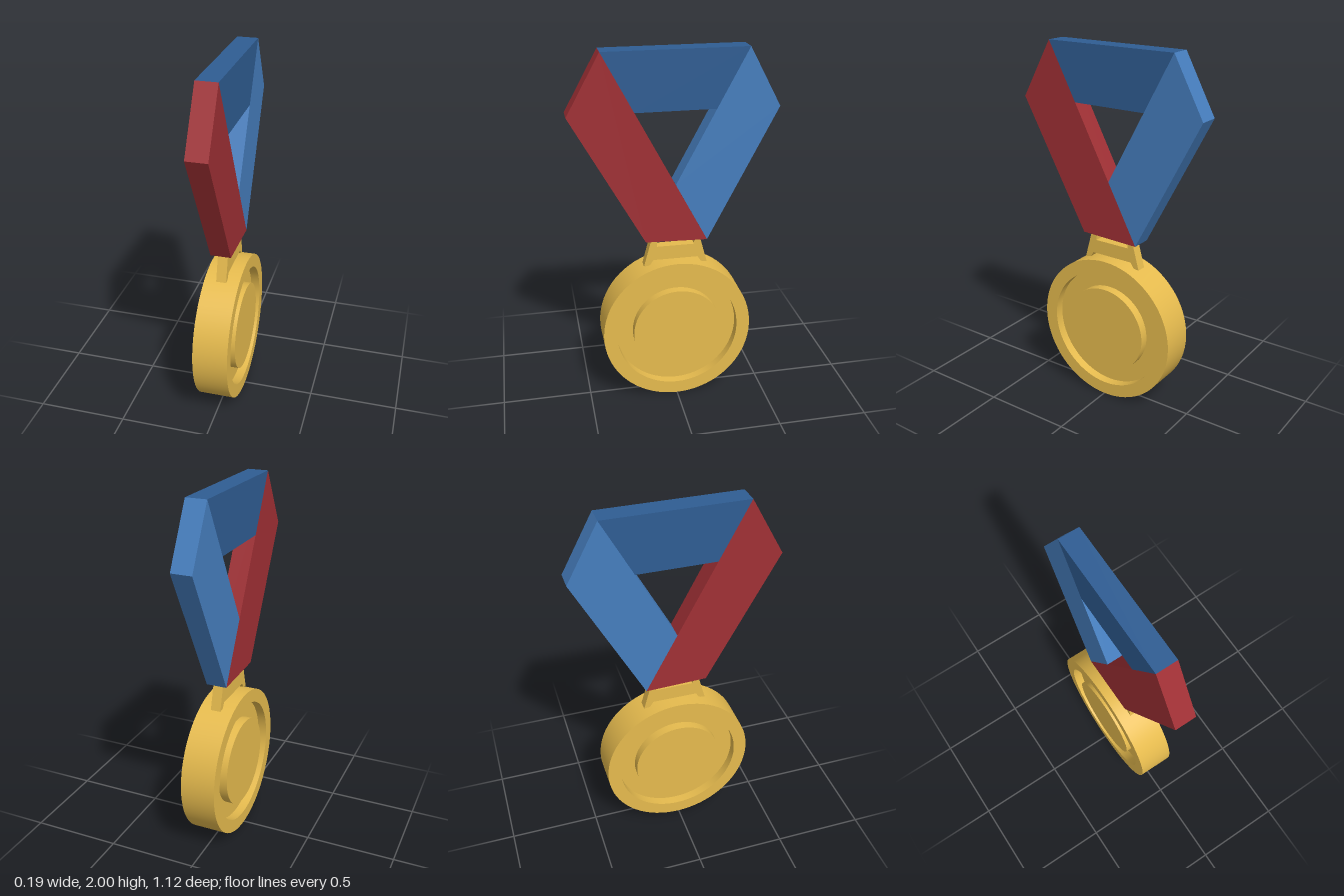
import * as THREE from 'three';
import { toCreasedNormals } from 'three/addons/utils/BufferGeometryUtils.js';

const gold = new THREE.MeshStandardMaterial({ color: 0xe6bb4e });
const red = new THREE.MeshStandardMaterial({ color: 0xa03035 });
const blue = new THREE.MeshStandardMaterial({ color: 0x467ebe });
const darkBlue = new THREE.MeshStandardMaterial({ color: 0x2f5d93 });

// Flat plate outlined by [z, y] points, spanning x0..x1
function plate(name, points, x0, x1, material) {
  const shape = new THREE.Shape(points.map(([z, y]) => new THREE.Vector2(-z, y)));
  const geometry = new THREE.ExtrudeGeometry(shape, { depth: x1 - x0, bevelEnabled: false });
  geometry.rotateY(Math.PI / 2).translate(x0, 0, 0);
  const mesh = new THREE.Mesh(geometry, material);
  mesh.name = name;
  return mesh;
}

// Disc with a raised rim and a raised centre, the same on both faces
function medalDisc() {
  const half = 0.0975, floor = 0.047;
  const side = [[0, half], [0.25, half], [0.25, floor], [0.345, floor], [0.345, half], [0.42, half]];
  const profile = [
    ...side.map(([r, h]) => new THREE.Vector2(r, -h)),
    ...side.reverse().map(([r, h]) => new THREE.Vector2(r, h)),
  ];
  const geometry = toCreasedNormals(new THREE.LatheGeometry(profile, 72), 0.6);
  geometry.rotateZ(-Math.PI / 2);
  const mesh = new THREE.Mesh(geometry, gold);
  mesh.name = 'medalDisc';
  mesh.position.set(-0.0025, 0.42, -0.003);
  return mesh;
}

export function createModel() {
  const group = new THREE.Group();
  group.name = 'medal';

  // Ribbon: two crossing straps and the band joining them at the top
  const x0 = -0.064, x1 = 0.05;
  group.add(
    plate('frontStrap', [[0.38, 2], [0.56, 1.68], [0.165, 0.965], [-0.175, 0.955]], x0, x1, red),
    plate('backStrap', [[-0.385, 2], [-0.555, 1.685], [-0.175, 0.955], [0, 1.285]], x0, x1, blue),
    plate('topBand', [[0.38, 2], [-0.385, 2], [-0.218, 1.687], [0.214, 1.687]], x0, x1, darkBlue),
  );

  // Hanger: two posts over a cross bar, with splayed feet beside the disc
  const half = [[0.105, 0.922], [0.105, 0.966], [0.135, 0.966], [0.178, 0.808], [0.145, 0.812], [0.125, 0.843]];
  const mirrored = half.map(([z, y]) => [-z, y]).reverse();
  const hanger = plate('hanger', [...half, ...mirrored], -0.031, 0.025, gold);
  hanger.position.z = -0.004;

  group.add(hanger, medalDisc());
  return group;
}
